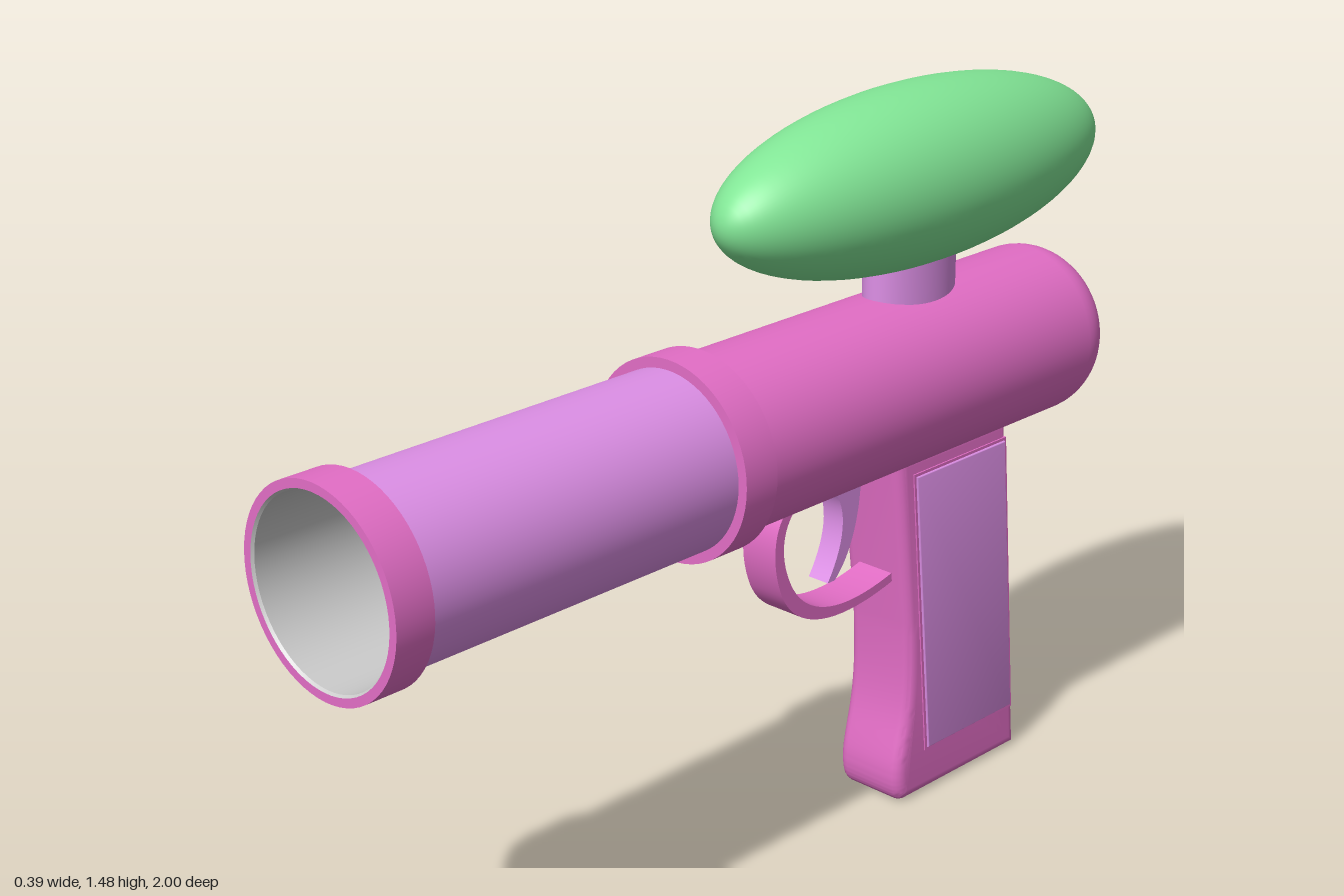
import * as THREE from 'three';
import { toCreasedNormals } from 'three/addons/utils/BufferGeometryUtils.js';

const mat = (color, side = THREE.FrontSide) => new THREE.MeshStandardMaterial({ color, side });
const pink = mat(0xe36ec6), purple = mat(0xdd8fe6), green = mat(0x82e696), grey = mat(0xcccccc);
const AXIS_Y = 0.905, R = 0.175, SEG = 64;

export function createModel() {
  const model = new THREE.Group();
  const add = (name, geometry, material, x = 0, y = 0, z = 0) => {
    const mesh = new THREE.Mesh(geometry, material);
    mesh.name = name;
    mesh.position.set(x, y, z);
    model.add(mesh);
    return mesh;
  };

  // Lathe around the barrel axis; profile points are [radius, z], listed back to front
  const turned = (name, profile, material) => {
    const g = new THREE.LatheGeometry(profile.map(([r, z]) => new THREE.Vector2(r, z)), SEG);
    g.rotateX(Math.PI / 2);
    add(name, toCreasedNormals(g, 0.6), material, 0, AXIS_Y);
  };

  // Side-profile extrusion centred on x = 0; the shape is drawn with x = -z
  const sideExtrude = (shape, width, bevel = 0) => {
    const g = new THREE.ExtrudeGeometry(shape, {
      depth: width - 2 * bevel, curveSegments: 20, bevelEnabled: bevel > 0,
      bevelSize: bevel, bevelThickness: bevel, bevelOffset: -bevel, bevelSegments: 5,
    });
    g.translate(0, 0, bevel - width / 2);
    g.rotateY(Math.PI / 2);
    return toCreasedNormals(g, 0.6);
  };

  // Body with a rounded rear cap
  const body = [[0, -0.93]];
  for (let i = 0; i <= 12; i++) {
    const a = (i / 12) * Math.PI / 2;
    body.push([R - 0.1 + 0.1 * Math.sin(a), -0.83 - 0.1 * Math.cos(a)]);
  }
  body.push([R, 0.15]);
  turned('body', body, pink);

  // Barrel, its two collars and the hollow bore
  turned('barrel', [[R, 0.15], [R, 0.96]], purple);
  turned('middleCollar', [[R, 0.12], [0.195, 0.12], [0.195, 0.2], [R, 0.2]], pink);
  turned('muzzleCollar', [[R, 0.92], [0.195, 0.92], [0.195, 1], [0.178, 1]], pink);
  turned('bore', [[0.178, 1], [0.174, 0.995], [0.174, 0.16], [0, 0.16]], grey);

  // Hopper and its oval neck
  add('hopper', new THREE.SphereGeometry(1, 64, 40).rotateX(Math.PI / 2).scale(R, R, 0.53),
    green, 0, 1.308, -0.47);
  add('hopperNeck', new THREE.CylinderGeometry(1, 1, 0.18, 48, 1, true).scale(0.068, 1, 0.115),
    purple, 0, 1.12, -0.465);

  // Grip
  const grip = new THREE.Shape();
  grip.moveTo(0.35, 0.77);
  grip.lineTo(0.395, 0.4);
  grip.bezierCurveTo(0.41, 0.2, 0.385, 0.17, 0.372, 0.09);
  grip.bezierCurveTo(0.365, 0.04, 0.375, 0, 0.4, 0);
  grip.lineTo(0.762, 0);
  grip.lineTo(0.69, 0.77);
  grip.closePath();
  add('grip', sideExtrude(grip, 0.164, 0.025), pink);

  // Slanted side panels, each in a slightly larger border
  const quad = (e) => new THREE.Shape([
    [0.4 - e, 0.722 + e], [0.458 - e, 0.105 - e], [0.73 + e, 0.105 - e], [0.676 + e, 0.722 + e],
  ].map(([u, y]) => new THREE.Vector2(u, y)));
  for (const [side, s] of [['left', 1], ['right', -1]]) {
    add(side + 'PanelBorder', sideExtrude(quad(0.006), 0.01), pink, s * 0.08);
    add(side + 'GripPanel', sideExtrude(quad(0), 0.016, 0.004), purple, s * 0.081);
  }

  // Trigger guard band
  const guard = new THREE.Shape();
  guard.moveTo(0.085, 0.745);
  guard.bezierCurveTo(0.035, 0.72, 0.03, 0.64, 0.055, 0.575);
  guard.bezierCurveTo(0.085, 0.49, 0.19, 0.44, 0.39, 0.492);
  guard.lineTo(0.39, 0.511);
  guard.bezierCurveTo(0.21, 0.462, 0.12, 0.51, 0.085, 0.58);
  guard.bezierCurveTo(0.05, 0.65, 0.06, 0.71, 0.11, 0.745);
  guard.closePath();
  add('triggerGuard', sideExtrude(guard, 0.084), pink);

  // Hooked trigger
  const trigger = new THREE.Shape();
  trigger.moveTo(0.17, 0.76);
  trigger.bezierCurveTo(0.26, 0.73, 0.28, 0.64, 0.21, 0.537);
  trigger.lineTo(0.23, 0.537);
  trigger.bezierCurveTo(0.28, 0.58, 0.305, 0.66, 0.305, 0.76);
  trigger.closePath();
  add('trigger', sideExtrude(trigger, 0.05), purple);

  return model;
}
